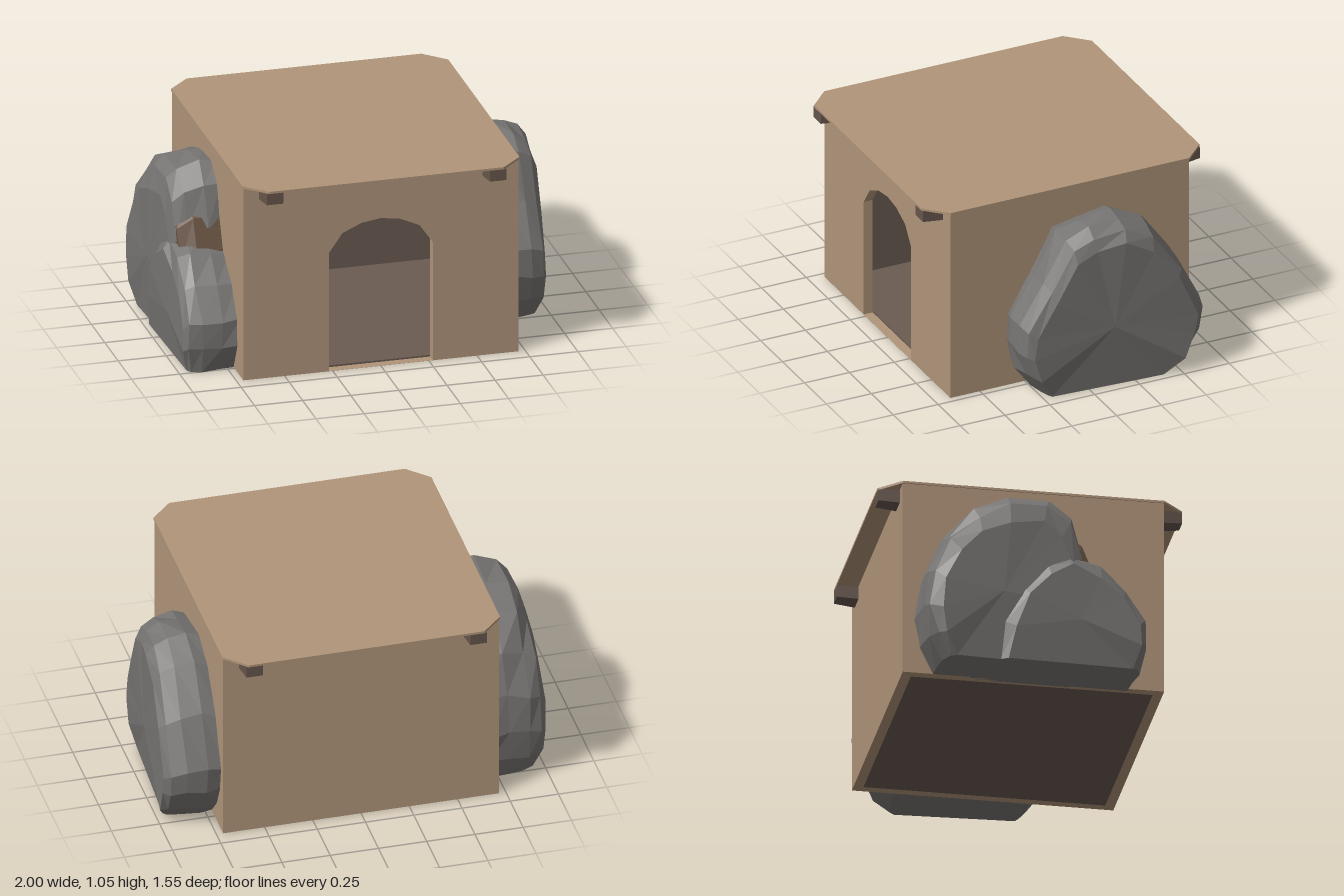
import * as THREE from 'three';

const paint = (color, extra = {}) => new THREE.MeshStandardMaterial({ color, flatShading: true, ...extra });
const clay = paint(0xb0957a);
const lining = paint(0x6a5a52);
const timber = paint(0x66564c);
const stone = paint(0x777573);
const earth = paint(0x66503f);

function add(group, name, geometry, material, x = 0, y = 0, z = 0) {
  const mesh = new THREE.Mesh(geometry, material);
  mesh.name = name;
  mesh.position.set(x, y, z);
  group.add(mesh);
  return mesh;
}

function box(group, name, material, w, h, d, x, y, z) {
  return add(group, name, new THREE.BoxGeometry(w, h, d), material, x, y, z);
}

// Small repeatable generator for the chipped stone
function seeded(seed) {
  let s = seed;
  return () => {
    s = (s * 16807) % 2147483647;
    return s / 2147483647 - 0.5;
  };
}

// Boulder: a [z, y] outline (front to back over the top) repeated in rings away from the wall.
// Each ring is [x, scale]; tilt pulls the outer face in towards the front.
function boulder(outline, rings, { side = 1, tilt = 0, seed = 7, rough = 0.025 } = {}) {
  const rand = seeded(seed);
  const n = outline.length;
  const cz = outline.reduce((sum, p) => sum + p[0], 0) / n;
  const last = rings.length - 1;
  const points = rings.map(([x, s], i) => outline.map(([z, y]) => {
    const pz = cz + (z - cz) * s + rand() * rough;
    const py = y === 0 ? 0 : y * s + rand() * rough;
    const px = x - (tilt * (z - cz) * i) / last - (y === 0 ? 0.03 * i / last : 0) + rand() * rough * 0.6;
    return [side * Math.min(px, 1), py, pz];
  }));
  const positions = [];
  const tri = (a, b, c) => positions.push(...a, ...(side > 0 ? [...b, ...c] : [...c, ...b]));
  for (let i = 0; i < last; i++) {
    for (let j = 0; j < n; j++) {
      const k = (j + 1) % n;
      const a = points[i][j], b = points[i][k], c = points[i + 1][j], d = points[i + 1][k];
      tri(a, c, b);
      tri(b, c, d);
    }
  }
  // Outer face
  const center = [side * rings[last][0], 0.38 * Math.max(...outline.map((p) => p[1])), cz];
  for (let j = 0; j < n; j++) tri(center, points[last][(j + 1) % n], points[last][j]);
  const geometry = new THREE.BufferGeometry();
  geometry.setAttribute('position', new THREE.Float32BufferAttribute(positions, 3));
  geometry.computeVertexNormals();
  return geometry;
}

export function createModel() {
  const model = new THREE.Group();
  model.name = 'clayHut';
  const X = 0.715, Z = 0.665, H = 1.04, T = 0.05;

  // Front wall with a faceted arched doorway
  const wall = new THREE.Shape([[-X, 0], [X, 0], [X, H], [-X, H]].map((p) => new THREE.Vector2(...p)));
  const arch = [[-0.27, 0.001], [-0.27, 0.64], [-0.2, 0.74], [-0.1, 0.785], [0, 0.8],
    [0.1, 0.785], [0.2, 0.74], [0.27, 0.64], [0.27, 0.001]];
  wall.holes.push(new THREE.Path(arch.map((p) => new THREE.Vector2(...p))));
  add(model, 'frontWall', new THREE.ExtrudeGeometry(wall, { depth: T, bevelEnabled: false }), clay, 0, 0, Z - T);

  // Remaining walls
  box(model, 'backWall', clay, 2 * X, H, T, 0, H / 2, -Z + T / 2);
  for (const s of [-1, 1]) {
    box(model, s > 0 ? 'leftWall' : 'rightWall', clay, T, H, 2 * (Z - T), s * (X - T / 2), H / 2, 0);
  }

  // Dark room lining
  const w = 2 * (X - T), d = 2 * (Z - T), t = 0.01;
  box(model, 'floor', lining, w, t, d, 0, t / 2, 0);
  box(model, 'ceiling', lining, w, t, d, 0, H - t / 2, 0);
  box(model, 'backLining', lining, w, H, t, 0, H / 2, -Z + T + t / 2);
  for (const s of [-1, 1]) {
    box(model, 'sideLining', lining, t, H, d, s * (X - T - t / 2), H / 2, 0);
  }

  // Thin roof slab with cut corners
  const roofX = 0.72, roofZ = 0.775, cut = 0.11;
  const roof = new THREE.Shape([
    [-roofX + cut, -roofZ], [roofX - cut, -roofZ], [roofX, -roofZ + cut], [roofX, roofZ - cut],
    [roofX - cut, roofZ], [-roofX + cut, roofZ], [-roofX, roofZ - cut], [-roofX, -roofZ + cut],
  ].map((p) => new THREE.Vector2(...p)));
  const roofGeometry = new THREE.ExtrudeGeometry(roof, { depth: 0.012, bevelEnabled: false });
  roofGeometry.rotateX(-Math.PI / 2);
  add(model, 'roof', roofGeometry, clay, 0, H, 0);

  // Beam ends under the eaves, narrowing towards the tip
  for (const sx of [-1, 1]) {
    for (const sz of [-1, 1]) {
      const geometry = new THREE.BoxGeometry(0.11, 0.07, 0.13);
      const p = geometry.attributes.position;
      for (let i = 0; i < p.count; i++) {
        if (p.getZ(i) * sz > 0) {
          p.setX(i, p.getX(i) * 0.78);
          if (p.getY(i) < 0) p.setY(i, -0.025);
        }
      }
      geometry.computeVertexNormals();
      add(model, 'beamEnd', geometry, timber, sx * 0.58, H - 0.035, sz * 0.708);
    }
  }

  // Large boulder against the left wall
  add(model, 'leftBoulder', boulder(
    [[0.24, 0], [0.33, 0.13], [0.36, 0.27], [0.35, 0.41], [0.23, 0.62], [0.1, 0.85], [-0.02, 0.89],
      [-0.2, 0.91], [-0.36, 0.83], [-0.52, 0.62], [-0.64, 0.37], [-0.62, 0.24], [-0.55, 0.1], [-0.45, 0]],
    [[0.69, 0.97], [0.78, 1], [0.88, 0.99], [0.95, 0.95], [0.98, 0.88]],
    { tilt: 0.05, seed: 11, rough: 0.02 },
  ), stone);

  // Split boulder against the right wall: tall back part, low front part, earth in the cleft
  add(model, 'rightBackBoulder', boulder(
    [[0.2, 0], [0.22, 0.4], [0.24, 0.66], [0.17, 0.87], [0.05, 0.96], [-0.16, 0.94], [-0.34, 0.86],
      [-0.48, 0.7], [-0.57, 0.5], [-0.6, 0.3], [-0.57, 0.13], [-0.5, 0]],
    [[0.69, 1], [0.78, 1], [0.89, 0.97], [0.95, 0.91], [0.98, 0.8]],
    { side: -1, tilt: 0.04, seed: 23 },
  ), stone);
  add(model, 'rightFrontBoulder', boulder(
    [[0.5, 0], [0.55, 0.14], [0.54, 0.28], [0.44, 0.45], [0.3, 0.56], [0.15, 0.62], [0.03, 0.55],
      [-0.1, 0.4], [-0.2, 0.2], [-0.22, 0]],
    [[0.69, 0.98], [0.79, 1], [0.9, 0.99], [0.96, 0.96], [0.99, 0.86]],
    { side: -1, tilt: 0.02, seed: 41 },
  ), stone);
  add(model, 'cleftEarth', boulder(
    [[0.28, 0.3], [0.29, 0.55], [0.22, 0.72], [0.1, 0.77], [-0.05, 0.72], [-0.12, 0.5], [-0.1, 0.3]],
    [[0.69, 1], [0.85, 1], [0.93, 0.93]],
    { side: -1, seed: 5 },
  ), earth);

  return model;
}
